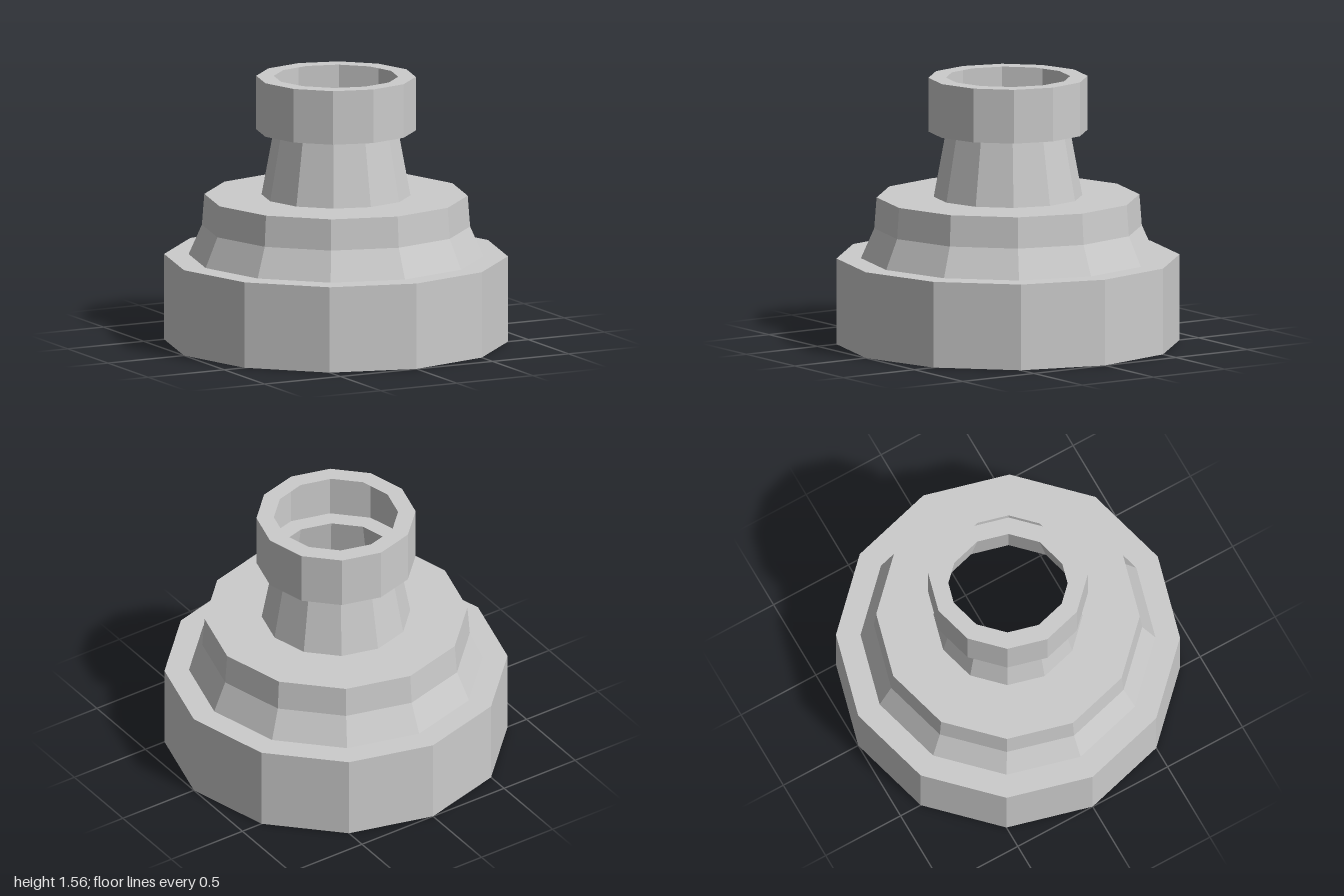
import * as THREE from 'three';

const SIDES = 12;

export function createModel() {
  const group = new THREE.Group();
  const material = new THREE.MeshStandardMaterial({
    color: 0xcccccc, flatShading: true, side: THREE.DoubleSide,
  });

  // Turns a [radius, height] profile into a thin twelve-sided shell
  const addShell = (name, profile) => {
    const points = profile.map(([r, y]) => new THREE.Vector2(r, y));
    const mesh = new THREE.Mesh(new THREE.LatheGeometry(points, SIDES), material);
    mesh.name = name;
    group.add(mesh);
  };

  // Wide base, open underneath, with its flat ledge
  addShell('base', [[1, 0], [1, 0.505], [0.857, 0.505]]);

  // Sloped shoulder and its flat top
  addShell('shoulder', [[0.857, 0.505], [0.78, 0.68], [0.766, 0.862], [0.433, 0.862]]);

  // Tapered neck
  addShell('neck', [[0.433, 0.862], [0.362, 1.246]]);

  // Hollow collar: floor, outer wall and inward lip, open in the middle
  addShell('collar', [[0.362, 1.246], [0.464, 1.246], [0.464, 1.563], [0.362, 1.563]]);

  return group;
}
